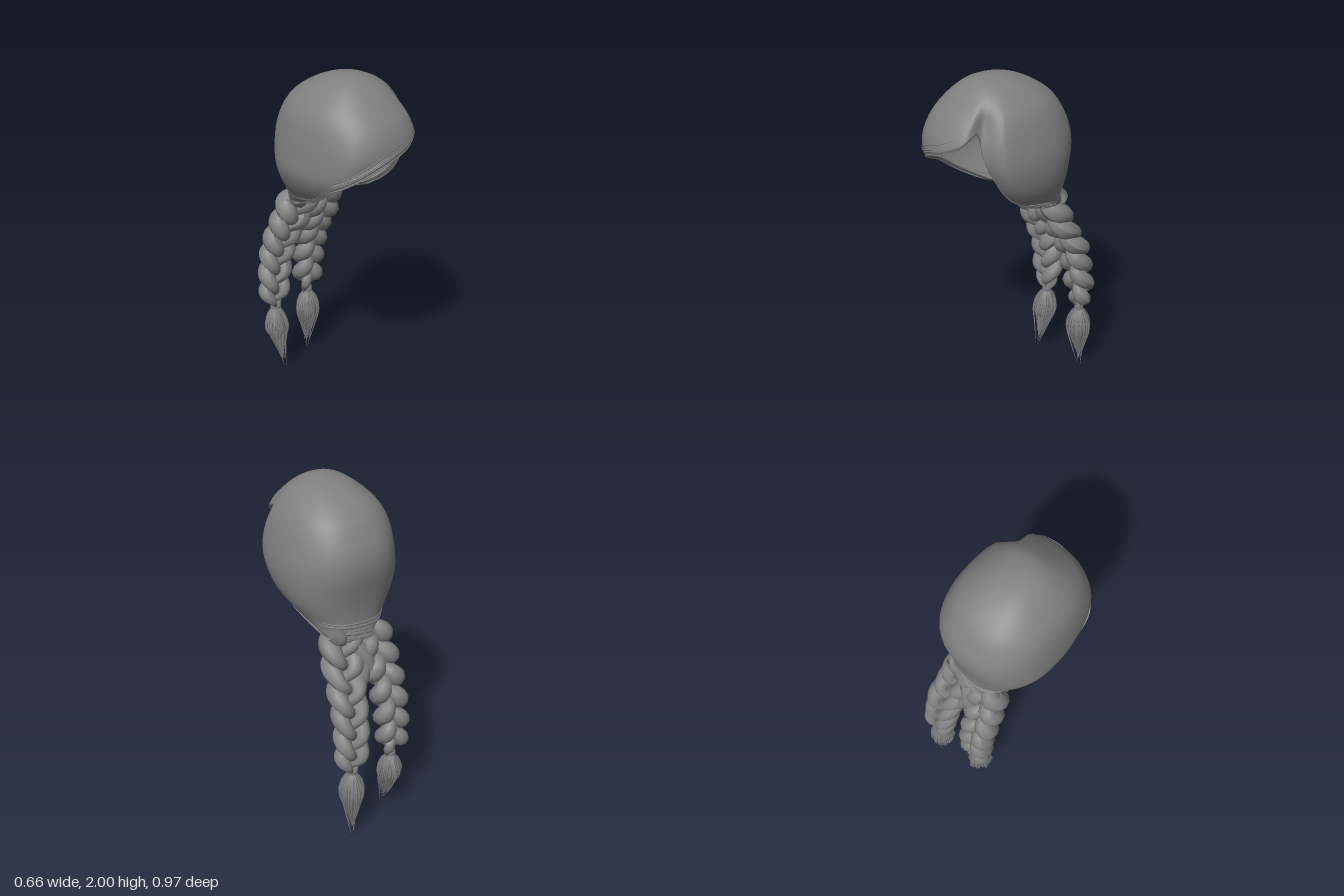
import * as THREE from 'three';
import { mergeVertices, mergeGeometries } from 'three/addons/utils/BufferGeometryUtils.js';

const V = (x, y, z) => new THREE.Vector3(x, y, z);
const { smoothstep, lerp, mapLinear, degToRad } = THREE.MathUtils;
const hair = new THREE.MeshStandardMaterial({ color: 0x808080, side: THREE.DoubleSide });
hair.name = 'hair grey';

let seed = 7;
const rand = () => (seed = (seed * 16807) % 2147483647) / 2147483647;

// Horizontal cross-sections of the cap: y, half widths (-x, +x), centre z, front z, back z
const SECTIONS = [
  [2.0, 0, 0, 0.14, 0.14, 0.14],
  [1.985, 0.085, 0.085, 0.13, 0.22, 0.03],
  [1.95, 0.155, 0.16, 0.12, 0.28, -0.08],
  [1.88, 0.235, 0.235, 0.1, 0.36, -0.19],
  [1.8, 0.285, 0.28, 0.09, 0.435, -0.25],
  [1.7, 0.308, 0.312, 0.09, 0.48, -0.295],
  [1.6, 0.32, 0.33, 0.08, 0.475, -0.305],
  [1.5, 0.325, 0.325, 0.06, 0.42, -0.29],
  [1.4, 0.285, 0.295, 0.02, 0.34, -0.275],
  [1.3, 0.21, 0.23, -0.05, 0.16, -0.27],
  [1.2, 0.14, 0.165, -0.19, -0.1, -0.28],
];
const spline = (pts) => new THREE.CatmullRomCurve3(pts, false, 'catmullrom', 0.5);
const widths = spline(SECTIONS.map((s) => V(s[0], s[1], s[2])));
const depths = spline(SECTIONS.map((s) => V(s[3], s[4], s[5])));

// Height of the lower edge by angle: 0 = +x, 90 = front, 180 = -x, 270 = back
const RIM = [
  [0, 1.23], [15, 1.25], [28, 1.3], [32, 1.4], [36, 1.5], [41, 1.6], [46, 1.74], [50, 1.78],
  [62, 1.72], [80, 1.67], [105, 1.6], [125, 1.53], [143, 1.46], [152, 1.37], [159, 1.29],
  [175, 1.24], [200, 1.21], [250, 1.2], [290, 1.2], [340, 1.21], [360, 1.23],
];
function rimLevel(deg) {
  const i = Math.max(1, RIM.findIndex((r) => r[0] >= deg));
  const [a, b] = [RIM[i - 1], RIM[i]];
  const y = mapLinear(deg, a[0], b[0], a[1], b[1]);
  let lo = 0, hi = 1;
  for (let k = 0; k < 24; k++) {
    const mid = (lo + hi) / 2;
    if (widths.getPoint(mid).x > y) lo = mid; else hi = mid;
  }
  return lo;
}

// Point on the cap; the hair beside the parting sits lower than the swept fringe,
// and the fringe swells at its low corner
function capPoint(deg, level, scale = 1) {
  const w = widths.getPoint(level), d = depths.getPoint(level);
  const a = degToRad(deg), c = Math.cos(a), s = Math.sin(a);
  const round = (v) => Math.sign(v) * Math.abs(v) ** 0.85;
  const dip = smoothstep(deg, 18, 44) * (1 - smoothstep(deg, 45, 57)) * (1 - smoothstep(w.x, 1.8, 1.94));
  const swell = Math.exp(-(((deg - 135) / 17) ** 2)) * (1 - smoothstep(w.x, 1.5, 1.85));
  const k = scale * (1 - 0.18 * dip + 0.07 * swell);
  return V(round(c) * (c < 0 ? w.y : w.z) * k, w.x,
    d.x + round(s) * (s < 0 ? d.x - d.z : d.y - d.x) * k);
}

function capGeometry() {
  const angles = [];
  for (let a = 0; a < 360; a += a >= 20 && a < 64 ? 2 : 5) angles.push(a);
  const rows = 30, pos = [], idx = [], n = angles.length, m = rows + 2;
  for (const a of angles) {
    const rim = rimLevel(a);
    for (let r = 0; r <= rows; r++) pos.push(...capPoint(a, (rim * r) / rows).toArray());
    // Lip turned inward gives the edge thickness
    const lip = capPoint(a, rim, 0.93);
    pos.push(lip.x, lip.y + 0.012, lip.z);
  }
  for (let i = 0; i < n; i++) {
    for (let r = 0; r < m - 1; r++) {
      const a = i * m + r, b = ((i + 1) % n) * m + r;
      if (r > 0) idx.push(a, b, a + 1);
      idx.push(b, b + 1, a + 1);
    }
  }
  const g = new THREE.BufferGeometry();
  g.setAttribute('position', new THREE.Float32BufferAttribute(pos, 3));
  g.setIndex(idx);
  const merged = mergeVertices(g, 1e-5);
  merged.computeVertexNormals();
  return merged;
}

// Tube whose radius follows a rule along its length
function lock(points, radius, segments = 24, sides = 8) {
  const curve = new THREE.CatmullRomCurve3(points);
  const g = new THREE.TubeGeometry(curve, segments, 1, sides);
  const p = g.attributes.position, v = V();
  for (let i = 0; i <= segments; i++) {
    const c = curve.getPointAt(i / segments), r = radius(i / segments);
    for (let j = 0; j <= sides; j++) {
      const k = i * (sides + 1) + j;
      v.fromBufferAttribute(p, k).sub(c).multiplyScalar(r).add(c);
      p.setXYZ(k, v.x, v.y, v.z);
    }
  }
  g.computeVertexNormals();
  return g;
}

function part(parent, name, geometry) {
  const m = new THREE.Mesh(geometry, hair);
  m.name = name;
  parent.add(m);
  return m;
}

// Three-strand braid hanging from the nape, with tie and tassel
function braid(name, side, midZ, endZ, tipY, tipZ) {
  const g = new THREE.Group();
  g.name = name;
  const path = new THREE.CatmullRomCurve3([
    V(side * 0.075, 1.25, -0.185), V(side * 0.105, 1.1, -0.24), V(side * 0.126, 0.9, midZ + 0.04),
    V(side * 0.132, 0.75, midZ), V(side * 0.139, 0.6, endZ), V(side * 0.14, 0.43, endZ),
  ]);
  const taper = (t) => 1 - 0.25 * t - 0.5 * smoothstep(t, 0.86, 1);
  for (let s = 0; s < 3; s++) {
    const phase = (t) => side * (t * 2.15 + s / 3) * Math.PI * 2;
    const pts = [];
    for (let i = 0; i <= 44; i++) {
      const t = i / 44, f = phase(t), c = path.getPointAt(t), k = taper(t);
      pts.push(V(c.x + 0.068 * k * Math.sin(f), c.y, c.z + 0.043 * k * Math.sin(2 * f)));
    }
    const bulge = (t) => taper(t) * (0.037 + 0.025 * Math.sin(phase(t)) ** 2);
    part(g, 'braidStrand', lock(pts, bulge, 96, 10));
  }
  const tie = part(g, 'braidTie', new THREE.CylinderGeometry(0.026, 0.024, 0.045, 12));
  tie.position.set(side * 0.14, 0.425, endZ);

  // Tassel: a ragged pointed core wrapped in fine tapered locks
  const bend = (y) => endZ + (tipZ - endZ) * ((0.43 - y) / (0.43 - tipY)) ** 2;
  const profile = [[0.002, tipY + 0.05], [0.026, 0.17], [0.052, 0.25], [0.062, 0.32], [0.045, 0.38], [0.018, 0.43]];
  const core = new THREE.LatheGeometry(profile.map((q) => new THREE.Vector2(...q)), 28);
  const p = core.attributes.position;
  for (let i = 0; i < p.count; i++) {
    const k = Math.floor(i / profile.length) % 2 ? 0.7 : 1;
    p.setXYZ(i, side * 0.14 + p.getX(i) * k, p.getY(i), bend(p.getY(i)) + p.getZ(i) * k);
  }
  core.computeVertexNormals();
  part(g, 'tasselCore', core);
  const wisps = [];
  for (let i = 0; i < 32; i++) {
    const a = i * 2.4, c = Math.cos(a), s = Math.sin(a), end = tipY + (i < 4 ? i * 0.012 : 0.04 + rand() * 0.13);
    const at = (r, y) => V(side * 0.14 + c * r, y, bend(y) + s * r);
    const flare = 0.06 + rand() * 0.014;
    wisps.push(lock([at(0.018, 0.43), at(flare * 0.75, 0.38), at(flare, 0.3),
      at(flare * 0.62, (0.3 + end) / 2), at(0.003 + rand() * 0.012, end)],
    (t) => 0.008 * (1 - t) + 0.001, 12, 5));
  }
  part(g, 'tasselWisps', mergeGeometries(wisps));
  return g;
}

export function createModel() {
  const model = new THREE.Group();
  model.name = 'braidedHair';
  part(model, 'hairCap', capGeometry());

  // Fine loose strands following the lower edge, sparser higher up
  const strands = [];
  for (const [from, to, count] of [[57, 200, 5], [-20, 40, 6], [200, 340, 8]]) {
    for (let k = 0; k < count; k++) {
      const a0 = lerp(from, to, k ? rand() * 0.4 : 0), a1 = lerp(from, to, k ? 0.6 + rand() * 0.4 : 1);
      const slope = (rand() - 0.3) * 0.03, pts = [];
      for (let i = 0; i <= 20; i++) {
        const a = (lerp(a0, a1, i / 20) + 360) % 360;
        pts.push(capPoint(a, rimLevel(a) - 0.003 - 0.013 * k - Math.max(0, slope * i / 20), 1.002 + 0.008 * rand()));
      }
      strands.push(lock(pts, (t) => 0.005 * Math.sin(Math.PI * t) + 0.0005, 48, 5));
    }
  }
  part(model, 'edgeStrands', mergeGeometries(strands));

  model.add(braid('leftBraid', 1, -0.385, -0.405, 0, -0.425));
  model.add(braid('rightBraid', -1, -0.365, -0.375, 0.04, -0.3));

  // Gathered hair at the nape
  for (const [x, y, z, tilt] of [[-0.12, 1.23, -0.14, 0.4], [-0.04, 1.24, -0.15, -0.5], [0.04, 1.25, -0.14, 0.5], [0.12, 1.24, -0.14, -0.4]]) {
    const knot = part(model, 'napeKnot', new THREE.SphereGeometry(0.035, 14, 10));
    knot.position.set(x, y, z);
    knot.scale.set(1.2, 0.9, 0.9);
    knot.rotation.z = tilt;
  }
  // Locks crossing between the two braids
  const swell = (t) => 0.052 * Math.sin(Math.PI * Math.min(1, 0.2 + t * 0.8)) + 0.001;
  for (const [x0, x1, y1, z1] of [[-0.04, 0.06, 0.87, -0.36], [0.05, -0.06, 0.93, -0.34]]) {
    part(model, 'crossingLock', lock([V(x0, 1.22, -0.22),
      V((x0 + x1) / 2 - 0.01, (1.22 + y1) / 2, -0.285), V(x1, y1, z1)], swell));
  }
  return model;
}
